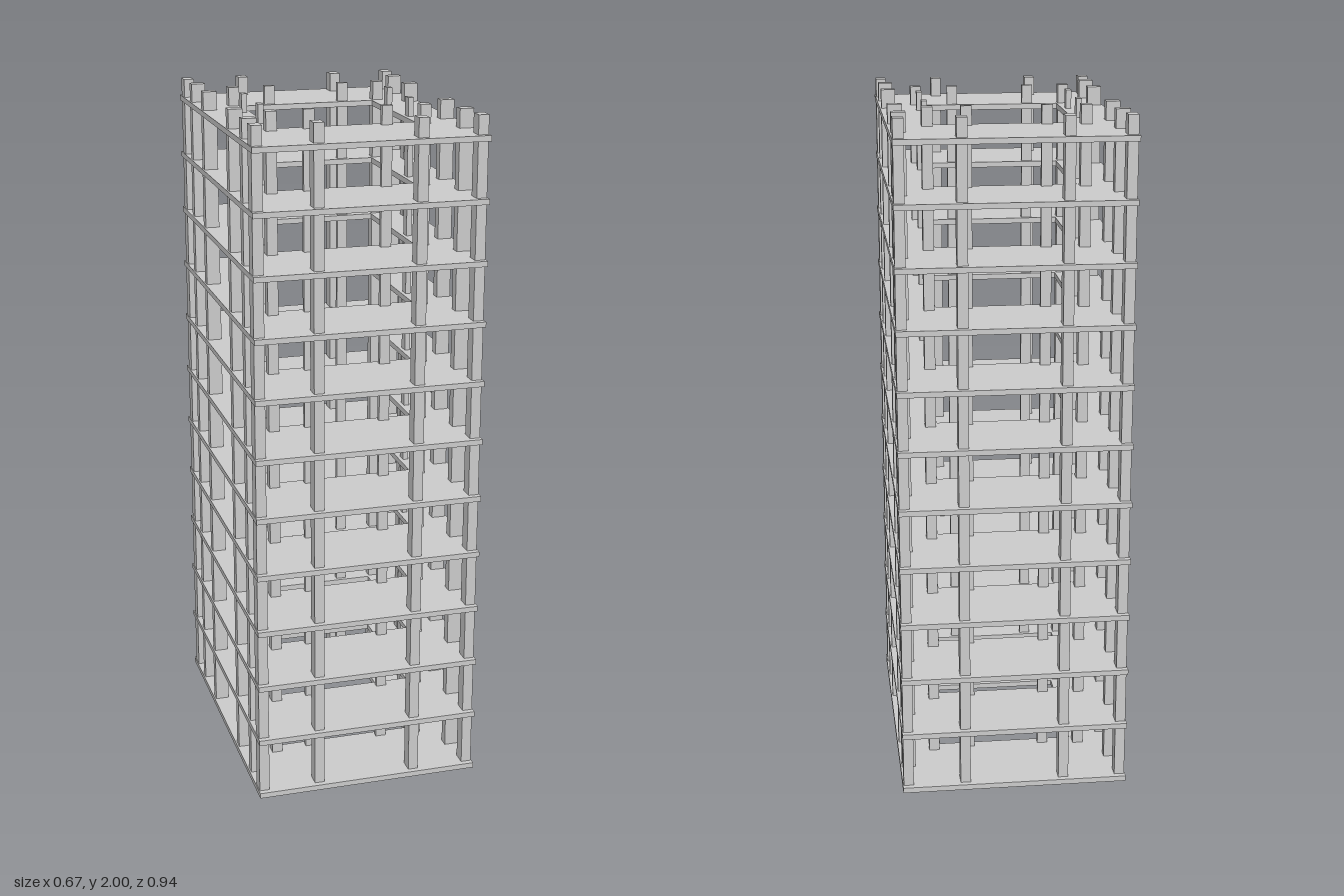
import * as THREE from 'three';

const HALF_X = 0.335, HALF_Z = 0.471, HOLE = 0.203;
const SLAB = 0.016, FLOORS = 12, STOREY = 0.175, FIRST = 0.0125, HEIGHT = 2;

// Column types, each mirrored into four: name, x, z, width, depth
const COLUMNS = [
  ['cornerColumn', 0.3175, 0.434, 0.03, 0.041],
  ['endColumn', 0.147, 0.434, 0.03, 0.041],
  ['outerSideColumn', 0.31, 0.326, 0.041, 0.03],
  ['innerSideColumn', 0.31, 0.164, 0.041, 0.03],
  ['coreCornerColumn', 0.224, 0.227, 0.031, 0.031],
  ['coreEndColumn', 0.114, 0.2235, 0.031, 0.016],
  ['coreSideColumn', 0.222, 0.1, 0.016, 0.03],
];

function rectanglePoints(hx, hz) {
  return [[-hx, -hz], [hx, -hz], [hx, hz], [-hx, hz]].map(([x, z]) => new THREE.Vector2(x, z));
}

export function createModel() {
  const model = new THREE.Group();
  model.name = 'towerFrame';
  const material = new THREE.MeshStandardMaterial({ color: 0xcccccc, flatShading: true });

  // Floor slabs with a square core opening
  const outline = new THREE.Shape(rectanglePoints(HALF_X, HALF_Z));
  outline.holes.push(new THREE.Path(rectanglePoints(HOLE, HOLE).reverse()));
  const slabGeometry = new THREE.ExtrudeGeometry(outline, { depth: SLAB, bevelEnabled: false });
  slabGeometry.translate(0, 0, -SLAB / 2).rotateX(-Math.PI / 2);
  const floors = new THREE.Group();
  floors.name = 'floors';
  for (let i = 0; i < FLOORS; i++) {
    const slab = new THREE.Mesh(slabGeometry, material);
    slab.name = 'floorSlab';
    slab.position.y = FIRST + i * STOREY;
    floors.add(slab);
  }
  model.add(floors);

  // Full-height columns, mirrored across both axes
  const columns = new THREE.Group();
  columns.name = 'columns';
  for (const [name, x, z, width, depth] of COLUMNS) {
    const geometry = new THREE.BoxGeometry(width, HEIGHT, depth);
    for (const sx of [-1, 1]) {
      for (const sz of [-1, 1]) {
        const column = new THREE.Mesh(geometry, material);
        column.name = name;
        column.position.set(sx * x, HEIGHT / 2, sz * z);
        columns.add(column);
      }
    }
  }
  model.add(columns);

  return model;
}
